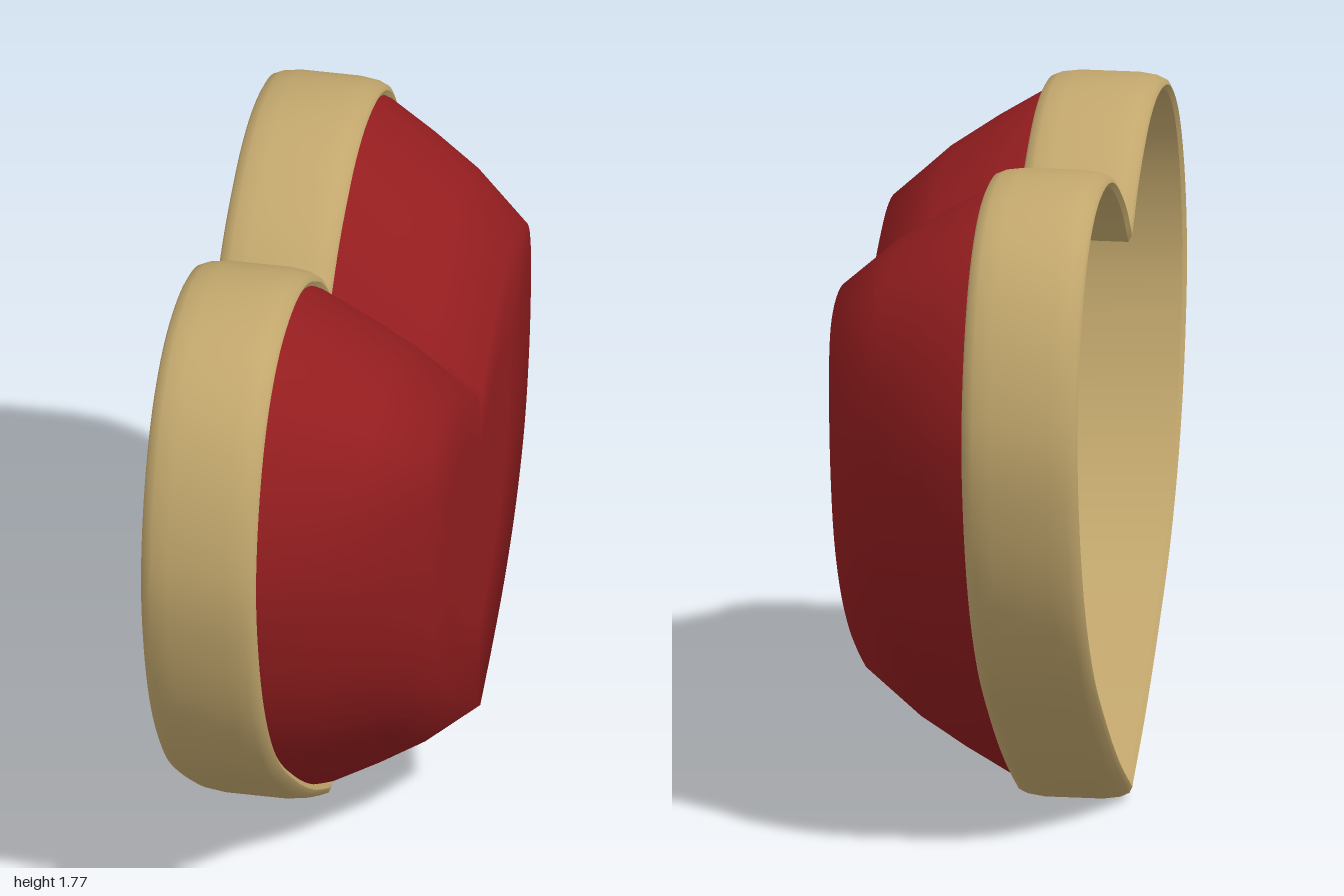
import * as THREE from 'three';
import { toCreasedNormals } from 'three/addons/utils/BufferGeometryUtils.js';

const gold = new THREE.MeshStandardMaterial({ color: 0xc2a76d });
gold.name = 'antique gold';
const red = new THREE.MeshStandardMaterial({ color: 0x931d1f, side: THREE.DoubleSide });
red.name = 'deep red';

// Half outlines from cleft to tip as [z, y]; both have the same point count
const HEART = [[0, 1.54], [0.07, 1.608], [0.16, 1.672], [0.31, 1.748], [0.48, 1.778], [0.68, 1.745],
  [0.84, 1.635], [0.95, 1.45], [1, 1.2], [0.965, 0.96], [0.87, 0.72], [0.71, 0.5], [0.48, 0.305],
  [0.24, 0.138], [0, 0.005]];
const TABLE = [[0, 1.23], [0.05, 1.28], [0.12, 1.33], [0.24, 1.395], [0.38, 1.445], [0.52, 1.445],
  [0.61, 1.405], [0.645, 1.34], [0.65, 1.17], [0.62, 0.98], [0.56, 0.81], [0.45, 0.65], [0.31, 0.52],
  [0.16, 0.42], [0, 0.33]];

// Smooth half outline mirrored into a closed loop; Vector2 holds (-z, y)
function heartLoop(half) {
  const curve = new THREE.CatmullRomCurve3(half.map(([z, y]) => new THREE.Vector3(-z, y, 0)));
  const side = curve.getPoints(84).map(p => new THREE.Vector2(p.x, p.y));
  const other = side.slice(1, -1).reverse().map(p => new THREE.Vector2(-p.x, p.y));
  return [...side, ...other];
}

// Moves a loop inwards by d, with mitred corners
function inset(loop, d) {
  const n = loop.length;
  const normal = (a, b) => new THREE.Vector2(a.y - b.y, b.x - a.x).normalize();
  return loop.map((p, i) => {
    const n1 = normal(loop[(i + n - 1) % n], p);
    const m = n1.clone().add(normal(p, loop[(i + 1) % n])).normalize();
    return p.clone().addScaledVector(m, d / m.dot(n1));
  });
}

// Skins rings of { x, loop }; closes the profile, or caps the last ring at a centre point
function loft(rings, crease, cap) {
  const n = rings[0].loop.length, pos = [], idx = [];
  for (const { x, loop } of rings) for (const p of loop) pos.push(x, p.y, -p.x);
  const count = cap ? rings.length - 1 : rings.length;
  for (let i = 0; i < count; i++) {
    const r0 = i * n, r1 = ((i + 1) % rings.length) * n;
    for (let j = 0; j < n; j++) {
      const k = (j + 1) % n;
      idx.push(r0 + j, r0 + k, r1 + j, r0 + k, r1 + k, r1 + j);
    }
  }
  if (cap) {
    const c = pos.length / 3, last = (rings.length - 1) * n;
    pos.push(...cap);
    for (let j = 0; j < n; j++) idx.push(last + j, last + (j + 1) % n, c);
  }
  const g = new THREE.BufferGeometry();
  g.setAttribute('position', new THREE.Float32BufferAttribute(pos, 3));
  g.setIndex(idx);
  return toCreasedNormals(g, crease);
}

export function createModel() {
  const group = new THREE.Group();
  group.name = 'heartGem';
  const outer = heartLoop(HEART);

  // Band: softly rounded outer edges, flat inner wall, open at the back
  const section = [[-0.345, 0.03], [-0.338, 0.016], [-0.315, 0.006], [-0.27, 0], [-0.12, 0],
    [-0.075, 0.006], [-0.052, 0.016], [-0.045, 0.03], [-0.052, 0.043], [-0.335, 0.043]];
  const band = new THREE.Mesh(
    loft(section.map(([x, d]) => ({ x, loop: inset(outer, d) })), 0.9), gold);
  band.name = 'band';

  // Stone: hollow dome rising from the band to a flat heart-shaped table, softly shaded
  const base = inset(outer, 0.042), table = heartLoop(TABLE);
  const steps = [[-0.06, 0], [-0.04, 0.02], [0.08, 0.27], [0.2, 0.55], [0.343, 1]];
  const rings = steps.map(([x, t]) => ({ x, loop: base.map((p, i) => p.clone().lerp(table[i], t)) }));
  const centre = new THREE.Vector2(0, 0.9);
  rings.push({ x: 0.344, loop: table.map(p => p.clone().lerp(centre, 0.45)) });
  const stone = new THREE.Mesh(loft(rings, 1.1, [0.344, 0.9, 0]), red);
  stone.name = 'stone';

  group.add(band, stone);
  return group;
}
